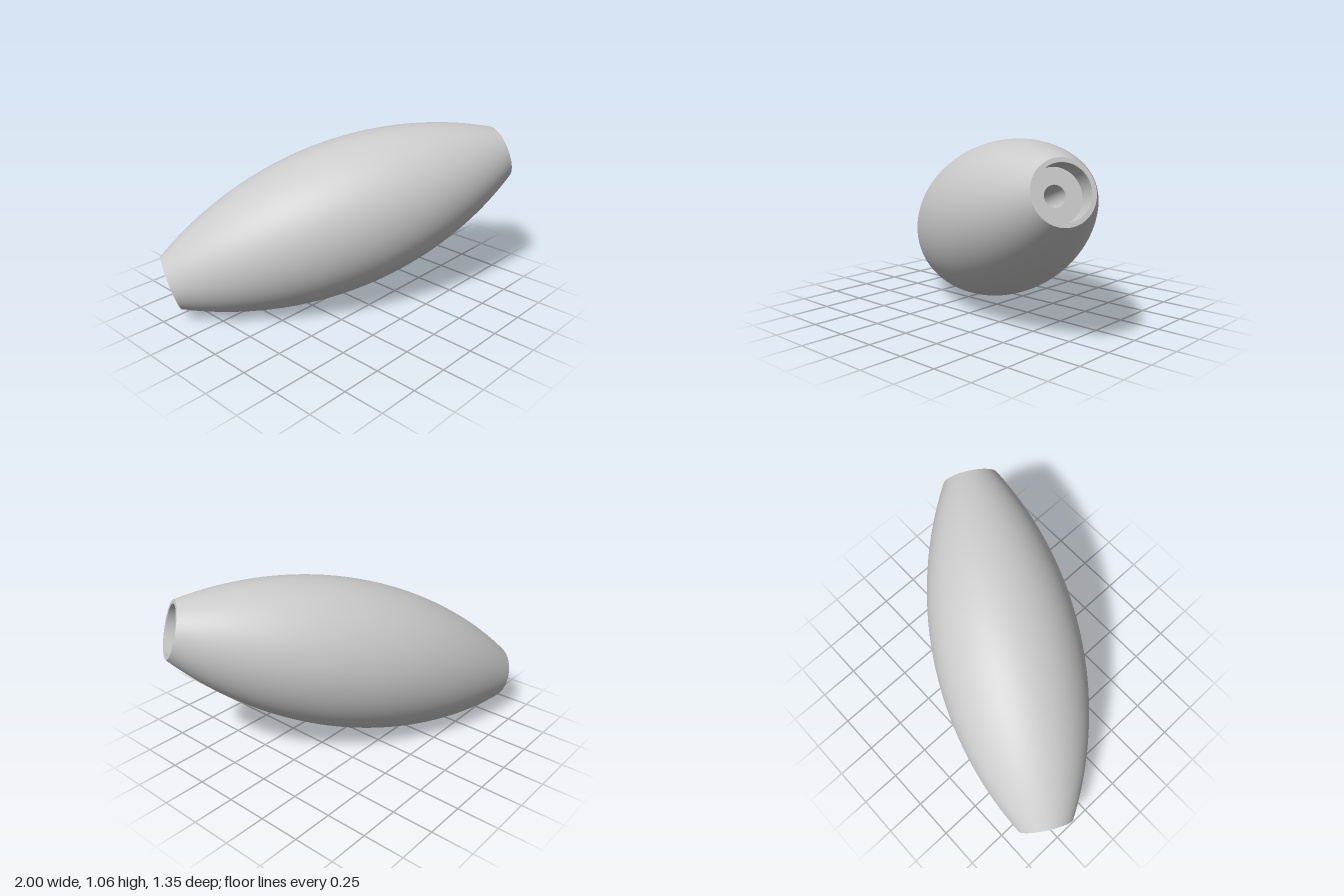
import * as THREE from 'three';

const HALF = 1.093;   // half length along the axis
const END_R = 0.17;   // radius at the flat ends
const MID_R = 0.457;  // radius at the belly
const BORE_R = 0.146; // counterbore at each end
const BORE_DEPTH = 0.117;
const HOLE_R = 0.057; // narrow channel through the middle
const SIDES = 128;

const material = new THREE.MeshStandardMaterial({ color: 0xcccccc });

// Revolve one [radius, height] profile; separate lathes keep the edges sharp
function revolve(name, profile) {
  const points = profile.map(([r, y]) => new THREE.Vector2(r, y));
  const mesh = new THREE.Mesh(new THREE.LatheGeometry(points, SIDES), material);
  mesh.name = name;
  return mesh;
}

export function createModel() {
  const group = new THREE.Group();
  group.name = 'barrelBead';

  // Outer shell: a circular arc bulging between the two ends
  const sag = MID_R - END_R;
  const arcR = (HALF * HALF + sag * sag) / (2 * sag);
  const sweep = Math.asin(HALF / arcR);
  const outer = [];
  for (let i = 0; i <= 48; i++) {
    const a = sweep * (i / 24 - 1);
    outer.push([MID_R - arcR + arcR * Math.cos(a), arcR * Math.sin(a)]);
  }
  group.add(revolve('outerShell', outer));

  // Each end: flat rim, counterbore wall and recessed floor
  const floorY = HALF - BORE_DEPTH;
  for (const [side, turn] of [['front', 0], ['rear', Math.PI]]) {
    const end = new THREE.Group();
    end.name = side + 'Socket';
    end.add(
      revolve('rim', [[END_R, HALF], [BORE_R, HALF]]),
      revolve('socketWall', [[BORE_R, HALF], [BORE_R, floorY]]),
      revolve('socketFloor', [[BORE_R, floorY], [HOLE_R, floorY]])
    );
    end.rotation.x = turn;
    group.add(end);
  }

  // Channel joining the two sockets
  group.add(revolve('channel', [[HOLE_R, floorY], [HOLE_R, -floorY]]));

  // Tilt the axis and rest the belly on the ground
  const axis = new THREE.Vector3(0.905, 0.315, 0.525).normalize();
  group.quaternion.setFromUnitVectors(new THREE.Vector3(0, 1, 0), axis);
  group.position.y = 0.53;

  const model = new THREE.Group();
  model.name = 'tiltedBead';
  model.add(group);
  return model;
}
